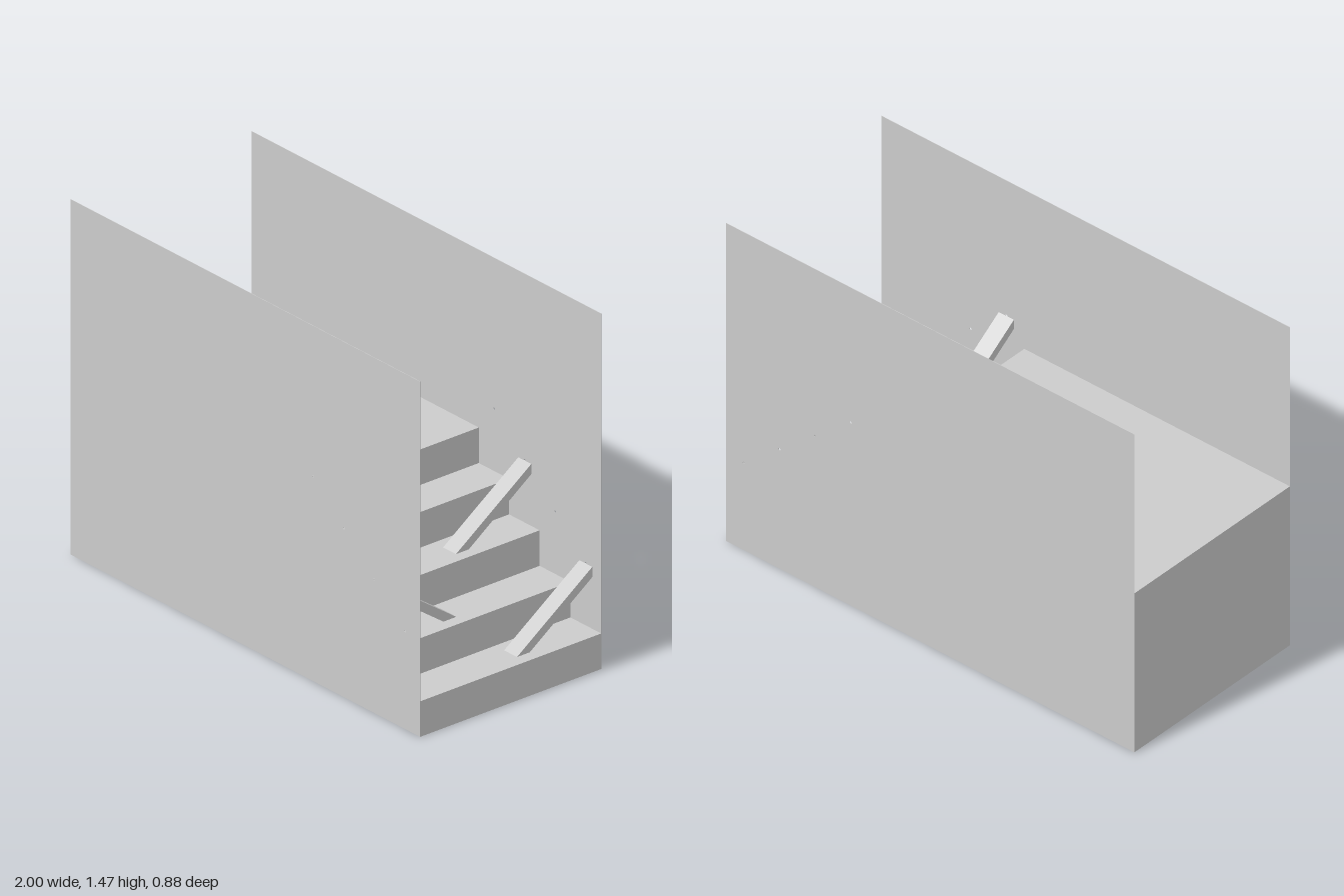
import * as THREE from 'three';

const HALF = 0.44, WALL_H = 1.465, RISE = 0.1465, WALL_T = 0.002;
const STEP_X = [0.3, 0.473, 0.648, 0.824, 1]; // right edge of each tread, top to bottom
const PLANK_X = [0.388, 0.563, 0.737, 0.912];

const mat = new THREE.MeshStandardMaterial({ color: 0xcccccc, flatShading: true, side: THREE.DoubleSide });

function add(group, name, geometry) {
  const mesh = new THREE.Mesh(geometry, mat);
  mesh.name = name;
  group.add(mesh);
  return mesh;
}

const polygon = (points) => new THREE.Shape(points.map(([x, y]) => new THREE.Vector2(x, y)));
const extrude = (shape, depth) => new THREE.ExtrudeGeometry(shape, { depth, bevelEnabled: false });

export function createModel() {
  const model = new THREE.Group();
  model.name = 'walledStairs';

  // Platform and descending steps in one stepped profile
  const profile = [[-1, 0], [1, 0]];
  for (let i = 4; i >= 0; i--) {
    const top = RISE * (5 - i);
    profile.push([STEP_X[i], top], [i > 0 ? STEP_X[i - 1] : -1, top]);
  }
  const inner = HALF - WALL_T;
  const stairs = add(model, 'stairs', extrude(polygon(profile), inner * 2));
  stairs.position.z = -inner;

  // Thin side walls, each with a pinhole above every step
  for (const side of [1, -1]) {
    const wall = polygon([[-1, 0], [1, 0], [1, WALL_H], [-1, WALL_H]]);
    PLANK_X.forEach((x, i) => {
      const hole = new THREE.Path();
      hole.absarc(x, RISE * (4 - i) + 0.257, 0.005, 0, Math.PI * 2, true);
      wall.holes.push(hole);
    });
    const mesh = add(model, side > 0 ? 'frontWall' : 'backWall', extrude(wall, WALL_T));
    mesh.position.z = side > 0 ? inner : -HALF;
  }

  // Slanted planks leaning on alternate walls, one per step
  PLANK_X.forEach((x, i) => {
    const side = i % 2 === 0 ? 1 : -1;
    const y = RISE * (4 - i);
    const section = polygon([[0.135, y], [0.439, y + 0.214], [0.439, y + 0.256], [0.073, y]]);
    const geometry = extrude(section, 0.074);
    geometry.translate(0, 0, -0.037);
    const plank = add(model, 'plank' + (i + 1), geometry);
    plank.rotation.y = -side * Math.PI / 2;
    plank.position.x = x;
  });

  return model;
}
